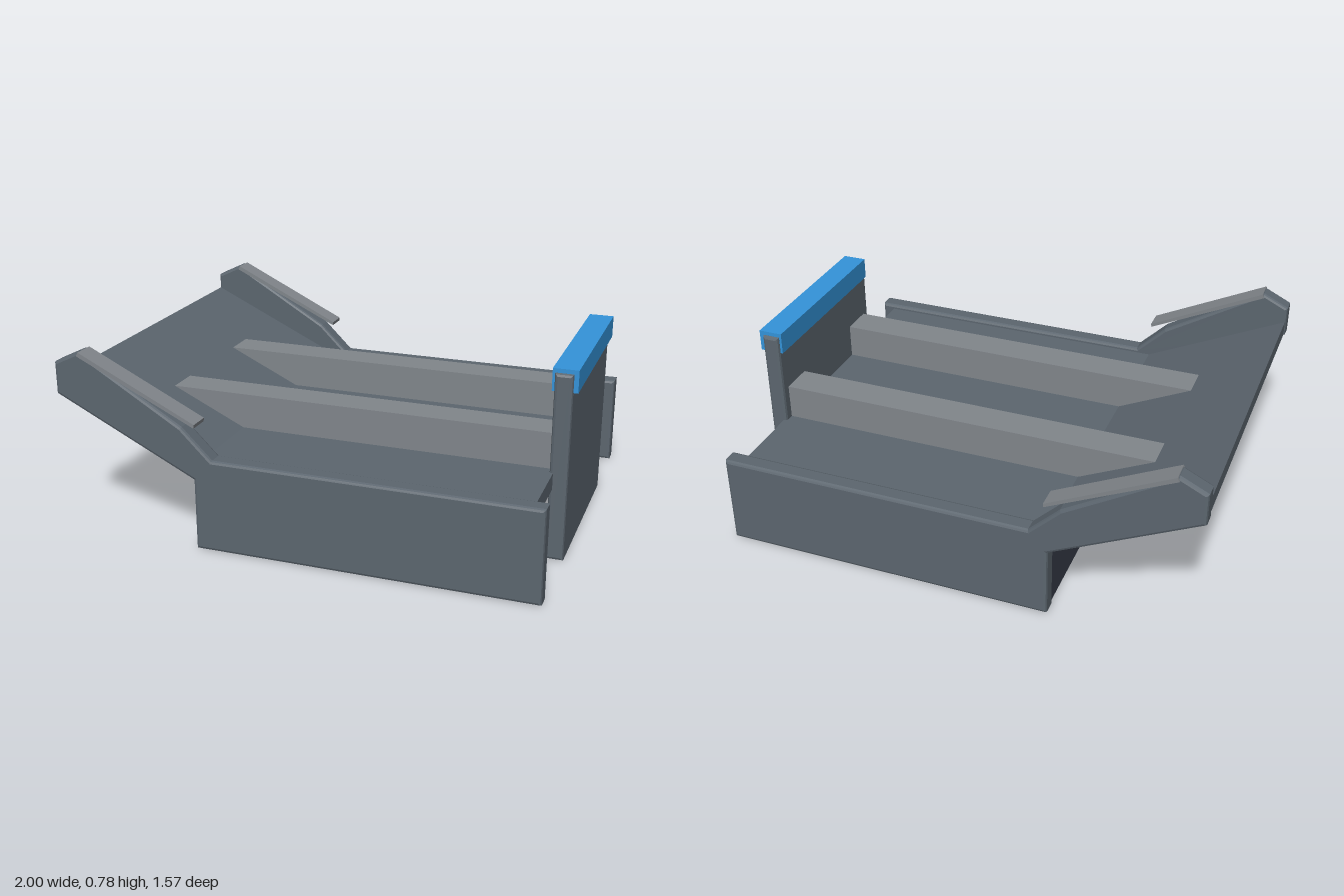
import * as THREE from 'three';

const mat = (name, color) => {
  const m = new THREE.MeshStandardMaterial({ color });
  m.name = name;
  return m;
};

export function createModel() {
  const steel = mat('slate steel', 0x5c666f);
  const light = mat('light grey', 0x81868b);
  const dark = mat('dark navy', 0x383d4a);
  const blue = mat('blue', 0x3494da);

  const root = new THREE.Group();
  root.name = 'loadingBed';

  const add = (name, geometry, material) => {
    const mesh = new THREE.Mesh(geometry, material);
    mesh.name = name;
    root.add(mesh);
    return mesh;
  };

  // Extrude a side profile (x, y) between two z values, with an optional chamfer.
  const slab = (points, z0, z1, bevel = 0) => {
    const shape = new THREE.Shape(points.map(([x, y]) => new THREE.Vector2(x, y)));
    const g = new THREE.ExtrudeGeometry(shape, {
      depth: z1 - z0 - 2 * bevel,
      bevelEnabled: bevel > 0,
      bevelSize: bevel,
      bevelThickness: bevel,
      bevelOffset: -bevel,
      bevelSegments: 2,
    });
    return g.translate(0, 0, z0 + bevel);
  };

  const box = (x0, x1, y0, y1, z0, z1) =>
    new THREE.BoxGeometry(x1 - x0, y1 - y0, z1 - z0)
      .translate((x0 + x1) / 2, (y0 + y1) / 2, (z0 + z1) / 2);

  // Flat deck rising into the ramp
  add('deckAndRamp', slab([
    [-0.39, 0.297], [0.925, 0.297], [0.925, 0.365], [-0.39, 0.365],
    [-0.995, 0.65], [-0.995, 0.585],
  ], -0.71, 0.71), steel);

  // Dark cross panel below the ramp hinge
  add('crossPanel', box(-0.405, -0.385, 0.005, 0.298, -0.71, 0.71), dark);

  // Side walls with raised wings
  const wall = [
    [-0.41, 0], [0.98, 0], [0.98, 0.385], [-0.33, 0.385], [-0.455, 0.508],
    [-0.89, 0.768], [-1, 0.715], [-1, 0.583], [-0.41, 0.295],
  ];
  // Thin pads resting on the wings
  const pad = [[-0.395, 0.515], [-0.393, 0.53], [-0.885, 0.768], [-0.893, 0.752]];
  // Long rails running from the ramp to the end board
  const rail = [[-0.39, 0.362], [0.915, 0.362], [0.915, 0.512], [-0.705, 0.512]];

  for (const [side, s] of [['left', 0], ['right', 1]]) {
    const place = (name, profile, z0, z1, bevel, material) =>
      add(side + name, s ? slab(profile, z0, z1, bevel) : slab(profile, -z1, -z0, bevel), material);
    place('Wall', wall, 0.705, 0.78, 0.012, steel);
    place('WingPad', pad, 0.7, 0.787, 0, light);
    place('Rail', rail, 0.215, 0.355, 0, light);
  }

  // Upright end board and its blue cap
  add('endBoard', slab([[0.91, 0], [0.982, 0], [0.982, 0.765], [0.91, 0.765]], -0.398, 0.398, 0.012), steel);
  add('endBoardCap', box(0.9, 1, 0.692, 0.782, -0.385, 0.385), blue);

  return root;
}
